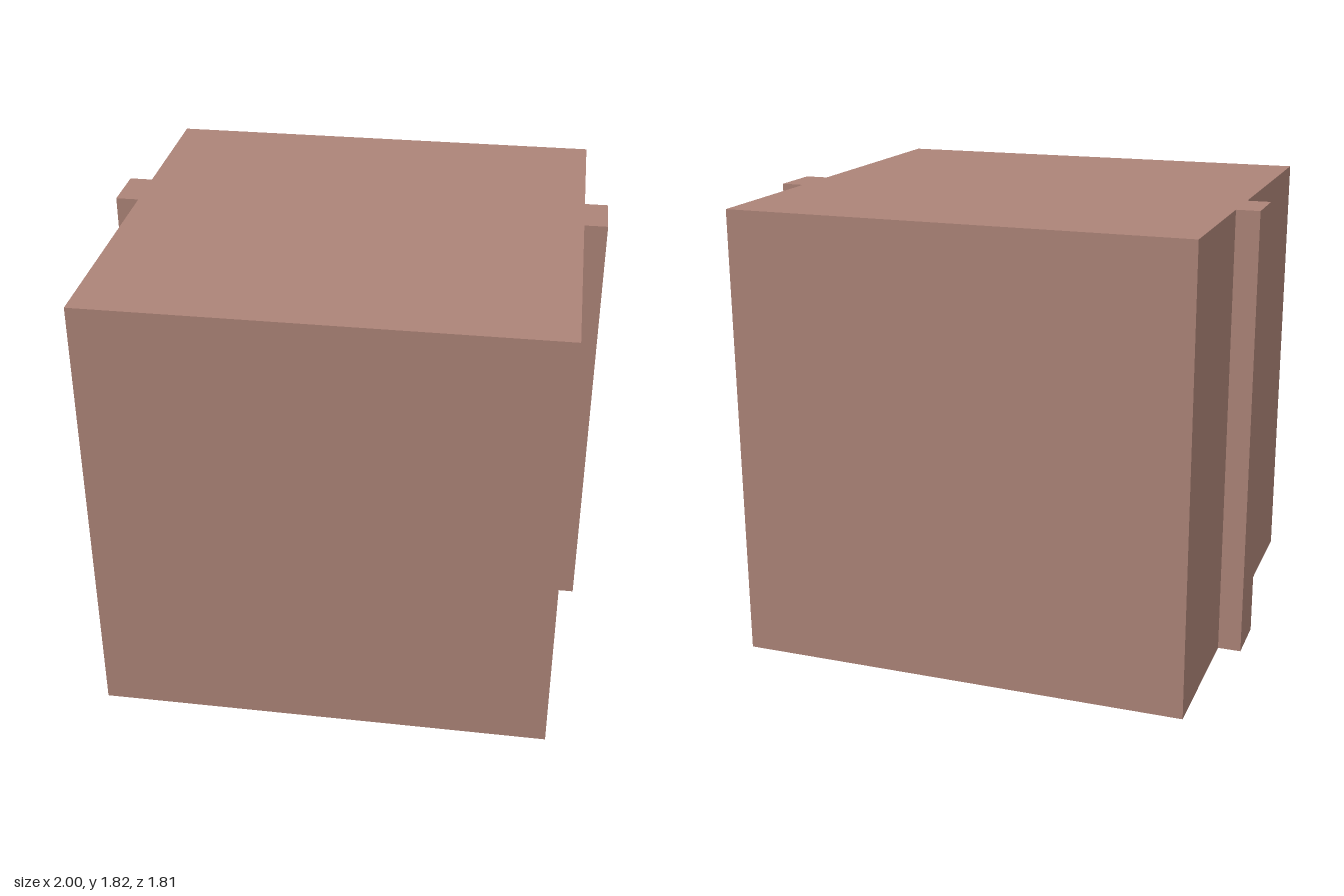
import * as THREE from 'three';

const HALF = 0.907;    // half width and depth of the block
const HEIGHT = 1.815;
const REACH = 1;       // outer face of the ribs
const RIB_FRONT = -0.074, RIB_BACK = -0.29;

export function createModel() {
  const group = new THREE.Group();
  group.name = 'ribbedBlock';

  // Right half of the plan outline as (x, z), front to back
  const side = [
    [HALF, HALF],
    [HALF, RIB_FRONT], [REACH, RIB_FRONT],
    [REACH, RIB_BACK], [HALF, RIB_BACK],
    [HALF, -HALF],
  ];
  const mirrored = side.map(([x, z]) => [-x, z]).reverse();

  // Block and its two side ribs as one solid; plan y is -z before turning upright
  const plan = new THREE.Shape([...side, ...mirrored].map(([x, z]) => new THREE.Vector2(x, -z)));
  const geometry = new THREE.ExtrudeGeometry(plan, { depth: HEIGHT, bevelEnabled: false });
  geometry.rotateX(-Math.PI / 2);

  const block = new THREE.Mesh(geometry, new THREE.MeshStandardMaterial({ color: 0xad8478 }));
  block.name = 'blockWithSideRibs';
  group.add(block);
  return group;
}
